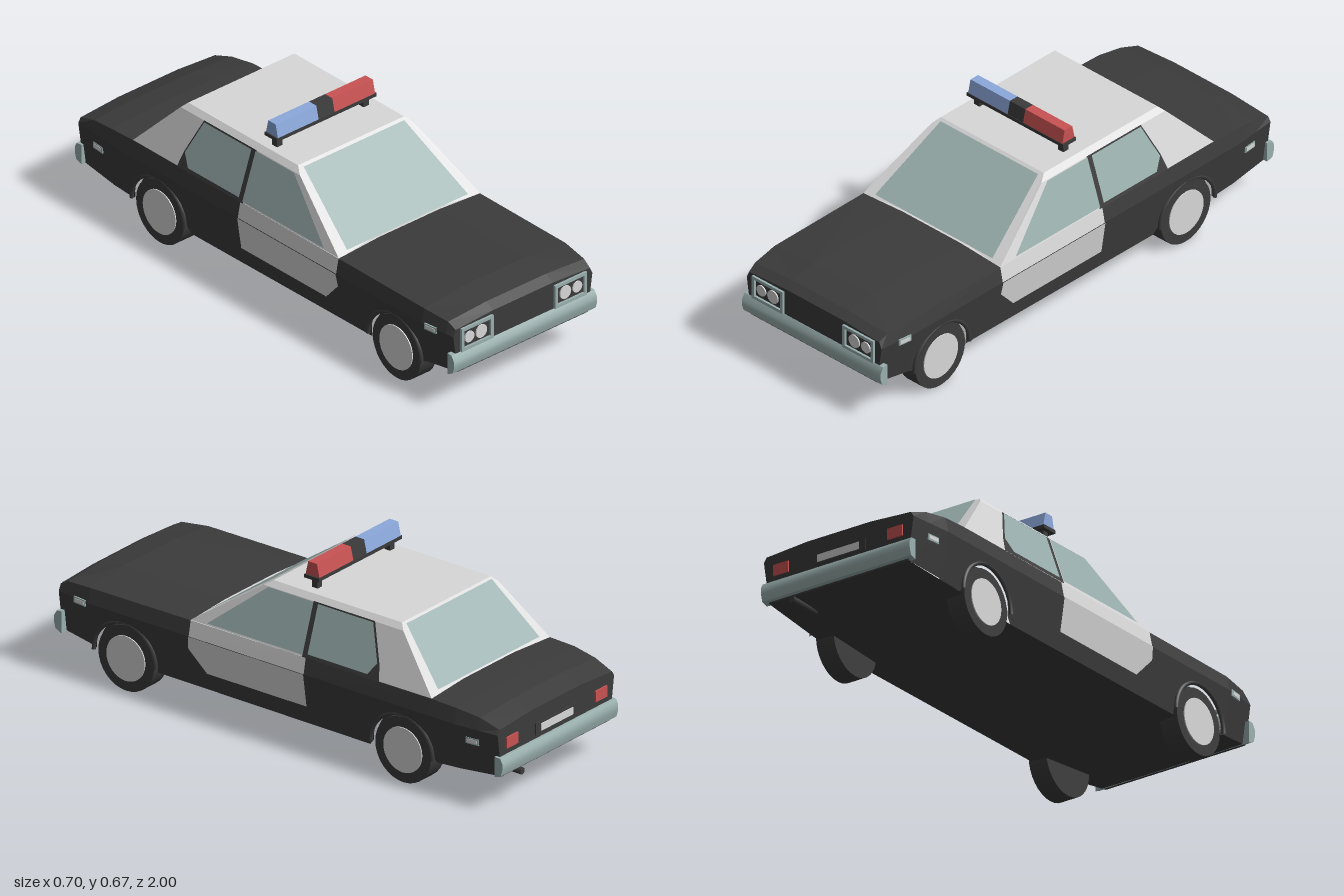
import * as THREE from 'three';
import { toCreasedNormals } from 'three/addons/utils/BufferGeometryUtils.js';

const mat = (name, color) => Object.assign(new THREE.MeshStandardMaterial({ color }), { name });

export function createModel() {
  const black = mat('black paint', 0x3b3b3b);
  const white = mat('white paint', 0xd8d8d8);
  const glass = mat('glass and chrome', 0x9ab0ae);
  const red = mat('red lens', 0xc95252);
  const blue = mat('blue lens', 0x8ca9dc);
  const car = new THREE.Group();
  car.name = 'patrolCar';

  const add = (name, geo, material, x = 0, y = 0, z = 0) => {
    const m = new THREE.Mesh(geo, material);
    m.name = name;
    m.position.set(x, y, z);
    car.add(m);
    return m;
  };
  const box = (name, w, h, d, material, x, y, z) =>
    add(name, new THREE.BoxGeometry(w, h, d), material, x, y, z);

  // Flat-shaded polygons, each listed counter-clockwise
  const faces = (name, material, polys) => {
    const pos = [];
    for (const p of polys)
      for (let i = 1; i < p.length - 1; i++) pos.push(...p[0], ...p[i], ...p[i + 1]);
    const g = new THREE.BufferGeometry();
    g.setAttribute('position', new THREE.Float32BufferAttribute(pos, 3));
    g.computeVertexNormals();
    return add(name, g, material);
  };

  // Skin between cross-sections running from front to back
  const loft = (name, material, sections) => {
    const quads = [];
    for (let i = 0; i < sections.length - 1; i++)
      for (let j = 0; j < sections[i].length - 1; j++)
        quads.push([sections[i][j], sections[i + 1][j], sections[i + 1][j + 1], sections[i][j + 1]]);
    return faces(name, material, quads);
  };

  // Side panel drawn as [z, y] points, laid on the slope x(y, z) and mirrored
  const sidePanel = (name, material, pts, slope, offset = 0) => {
    const shape = new THREE.Shape(pts.map(([z, y]) => new THREE.Vector2(-z, y)));
    const g = new THREE.ShapeGeometry(shape).toNonIndexed();
    const p = g.attributes.position;
    const tris = [[], []];
    for (let i = 0; i < p.count; i += 3) {
      const t = [0, 1, 2].map((k) => {
        const z = -p.getX(i + k), y = p.getY(i + k);
        return [slope(y, z) + offset, y, z];
      });
      tris[0].push(t);
      tris[1].push(t.map(([x, y, z]) => [-x, y, z]).reverse());
    }
    faces(name + 'Left', material, tris[0]);
    faces(name + 'Right', material, tris[1]);
  };

  // Width taper at nose and tail, lower body slope, cabin slope
  const taper = (z) => 1 - 0.05 * Math.max(0, (z - 0.84) / 0.145, (-0.8 - z) / 0.18);
  const lowerX = (y, z) => (0.315 + (y - 0.1) * 0.15) * taper(z);
  const cabinX = (y) => 0.333 - (y - 0.36) * (0.065 / 0.19);

  // Upper body: z, shoulder height, crown height
  const upper = [
    [0.985, 0.325, 0.335], [0.95, 0.345, 0.356], [0.84, 0.355, 0.374], [0.39, 0.358, 0.37],
    [-0.125, 0.36, 0.37], [-0.68, 0.362, 0.37], [-0.8, 0.358, 0.368], [-0.9, 0.345, 0.356], [-0.98, 0.318, 0.33],
  ].map(([z, s, c]) => {
    const w = taper(z);
    const half = [[0.345 * w, 0.3, z], [0.333 * w, s, z], [0.14, c, z]];
    return [...half, ...half.map(([x, y, d]) => [-x, y, d]).reverse()];
  });
  loft('hoodAndFenders', black, upper.slice(0, 4));
  loft('frontDoorShoulder', white, upper.slice(3, 5));
  loft('trunkAndQuarters', black, upper.slice(4));

  // Floor: z, sill height, drop at the middle
  const sills = [[0.985, 0.15, 0], [0.84, 0.133, 0.01], [0.55, 0.105, 0.02], [-0.4, 0.1, 0.018], [-0.7, 0.115, 0.01], [-0.98, 0.135, 0]];
  loft('floor', black, sills.map(([z, y, d]) => {
    const half = [[-lowerX(y, z), y, z], [-0.25, y - d * 0.3, z], [-0.18, y - d, z]];
    return [...half, ...half.map(([x, h, k]) => [-x, h, k]).reverse()];
  }));

  // Lower sides with wheel arches
  const wheelZ = [0.685, -0.555], wheelY = 0.125, archR = 0.135;
  const arch = (zc) => Array.from({ length: 17 }, (_, i) => {
    const a = (i / 16) * Math.PI;
    return [zc + archR * Math.cos(a), wheelY + archR * Math.sin(a)];
  });
  sidePanel('lowerSide', black, [
    [0.84, 0.3], [0.84, 0.133], ...arch(wheelZ[0]), [0.55, 0.105], [-0.4, 0.1],
    ...arch(wheelZ[1]), [-0.7, 0.115], [-0.8, 0.122], [-0.8, 0.3],
  ], lowerX);
  sidePanel('noseSide', black, [[0.985, 0.3], [0.985, 0.15], [0.84, 0.133], [0.84, 0.3]], lowerX);
  sidePanel('tailSide', black, [[-0.8, 0.3], [-0.8, 0.122], [-0.98, 0.135], [-0.98, 0.3]], lowerX);
  sidePanel('frontDoor', white, [[0.39, 0.3], [0.395, 0.25], [0.32, 0.17], [-0.125, 0.17], [-0.125, 0.3]], lowerX, 0.003);

  // Nose and tail faces
  for (const [name, i, low] of [['noseFace', 0, 0.15], ['tailFace', upper.length - 1, 0.135]]) {
    const z = upper[i][0][2], x = lowerX(low, z);
    const ring = [[-x, low, z], [x, low, z], ...upper[i]];
    faces(name, black, [i ? ring.reverse() : ring]);
  }

  // Cabin shell
  const frontEdge = [[0.333, 0.36, 0.39], [0.268, 0.55, 0.115], [0.25, 0.57, 0.085]];
  const rearEdge = [[0.333, 0.36, -0.69], [0.268, 0.55, -0.51], [0.25, 0.57, -0.49]];
  const flip = (pts) => pts.map(([x, y, z]) => [-x, y, z]).reverse();
  faces('windshieldFrame', white, [[...frontEdge, ...flip(frontEdge)]]);
  faces('rearWindowFrame', white, [[...rearEdge, ...flip(rearEdge)].reverse()]);
  loft('roof', white, [frontEdge, rearEdge].map((e) => [...e.slice(1), ...flip(e.slice(1))]));
  sidePanel('cabinSide', white, [[0.39, 0.36], [0.115, 0.55], [-0.51, 0.55], [-0.69, 0.36]], cabinX);

  // Windows and the dark door frames
  faces('windshield', glass, [[[-0.285, 0.37, 0.381], [0.285, 0.37, 0.381], [0.237, 0.566, 0.1], [-0.237, 0.566, 0.1]]]);
  faces('rearWindow', glass, [[[0.285, 0.378, -0.68], [-0.285, 0.378, -0.68], [-0.24, 0.566, -0.502], [0.24, 0.566, -0.502]]]);
  sidePanel('rearDoorFrame', black, [
    [-0.11, 0.36], [-0.11, 0.552], [-0.385, 0.552], [-0.44, 0.42], [-0.455, 0.36],
  ], cabinX, 0.002);
  sidePanel('frontSideWindow', glass, [[0.315, 0.368], [0.09, 0.55], [-0.112, 0.55], [-0.112, 0.368]], cabinX, 0.005);
  sidePanel('rearSideWindow', glass, [[-0.133, 0.375], [-0.133, 0.548], [-0.38, 0.548], [-0.433, 0.42], [-0.4, 0.375]], cabinX, 0.005);

  // Wheels, wells and arch lips
  const axle = (r, w, start = 0, sweep = Math.PI * 2) =>
    new THREE.CylinderGeometry(r, r, w, 32, 1, false, start, sweep).rotateZ(-Math.PI / 2);
  for (const s of [-1, 1]) for (const z of wheelZ) {
    add('tyre', axle(0.125, 0.077), black, s * 0.2865, wheelY, z);
    add('hubcap', axle(0.086, 0.006), white, s * 0.326, wheelY, z);
    const well = add('wheelWell', new THREE.CylinderGeometry(archR, archR, 0.1, 24, 1, false, -Math.PI / 2, Math.PI)
      .rotateX(-Math.PI / 2).rotateY(Math.PI / 2), black, s * 0.25, wheelY, z);
    well.scale.setScalar(1.01);
    add('archLip', new THREE.TorusGeometry(0.139, 0.008, 6, 20, Math.PI).rotateY(Math.PI / 2), black, s * 0.333, wheelY, z);
  }

  // Bumpers: profile extruded across the car
  const bumper = (name, width, pts) => {
    const g = new THREE.ExtrudeGeometry(new THREE.Shape(pts.map(([z, y]) => new THREE.Vector2(-z, y))),
      { depth: width, bevelEnabled: false });
    add(name, toCreasedNormals(g.translate(0, 0, -width / 2).rotateY(Math.PI / 2), 0.7), glass);
  };
  bumper('frontBumper', 0.674, [[0.965, 0.23], [0.986, 0.228], [1, 0.205], [1, 0.185], [0.992, 0.158], [0.965, 0.145]]);
  bumper('rearBumper', 0.652, [[-0.965, 0.215], [-0.99, 0.213], [-1, 0.195], [-1, 0.172], [-0.992, 0.145], [-0.965, 0.137]]);

  // Lamps, side markers and tail lights
  const lamp = (r) => new THREE.CylinderGeometry(r, r, 0.006, 20).rotateX(Math.PI / 2);
  for (const s of [-1, 1]) {
    for (const y of [0.235, 0.316]) box('headlightFrame', 0.15, 0.012, 0.014, glass, s * 0.22, y, 0.987);
    for (const x of [0.151, 0.289]) box('headlightFrame', 0.012, 0.093, 0.014, glass, s * x, 0.2755, 0.987);
    add('innerHeadlight', lamp(0.026), white, s * 0.198, 0.275, 0.987);
    add('outerHeadlight', lamp(0.022), white, s * 0.254, 0.275, 0.987);
    box('tailLight', 0.065, 0.042, 0.009, red, s * 0.25, 0.257, -0.982);
    for (const [x, y, z, turn] of [[0.34, 0.295, 0.88, -0.117], [0.331, 0.25, -0.87, 0.094]]) {
      box('markerFrame', 0.008, 0.024, 0.055, glass, s * x, y, z).rotation.y = s * turn;
      box('markerLens', 0.009, 0.014, 0.042, white, s * (x + 0.001), y, z).rotation.y = s * turn;
    }
  }
  box('plateRecess', 0.235, 0.046, 0.006, black, 0, 0.25, -0.981);
  box('rearPlate', 0.18, 0.028, 0.009, white, 0, 0.25, -0.982);
  add('tailpipe', new THREE.CylinderGeometry(0.013, 0.013, 0.14, 10).rotateX(Math.PI / 2), black, 0.2, 0.122, -0.92);

  // Roof light bar with tapered lenses
  const barZ = -0.068;
  for (const x of [-0.21, 0.198]) box('lightBarLeg', 0.026, 0.045, 0.026, black, x, 0.587, barZ);
  box('lightBarBase', 0.469, 0.013, 0.066, black, -0.0055, 0.6135, barZ);
  for (const [name, x0, x1, m] of [['blueLight', -0.235, -0.043, blue], ['lightBarCentre', -0.043, 0.032, black], ['redLight', 0.032, 0.223, red]]) {
    const g = new THREE.BoxGeometry(x1 - x0, 0.051, 0.062).toNonIndexed();
    const p = g.attributes.position;
    for (let i = 0; i < p.count; i++) if (p.getY(i) > 0) p.setZ(i, p.getZ(i) * 0.62);
    g.computeVertexNormals();
    add(name, g, m, (x0 + x1) / 2, 0.6455, barZ);
  }
  return car;
}
